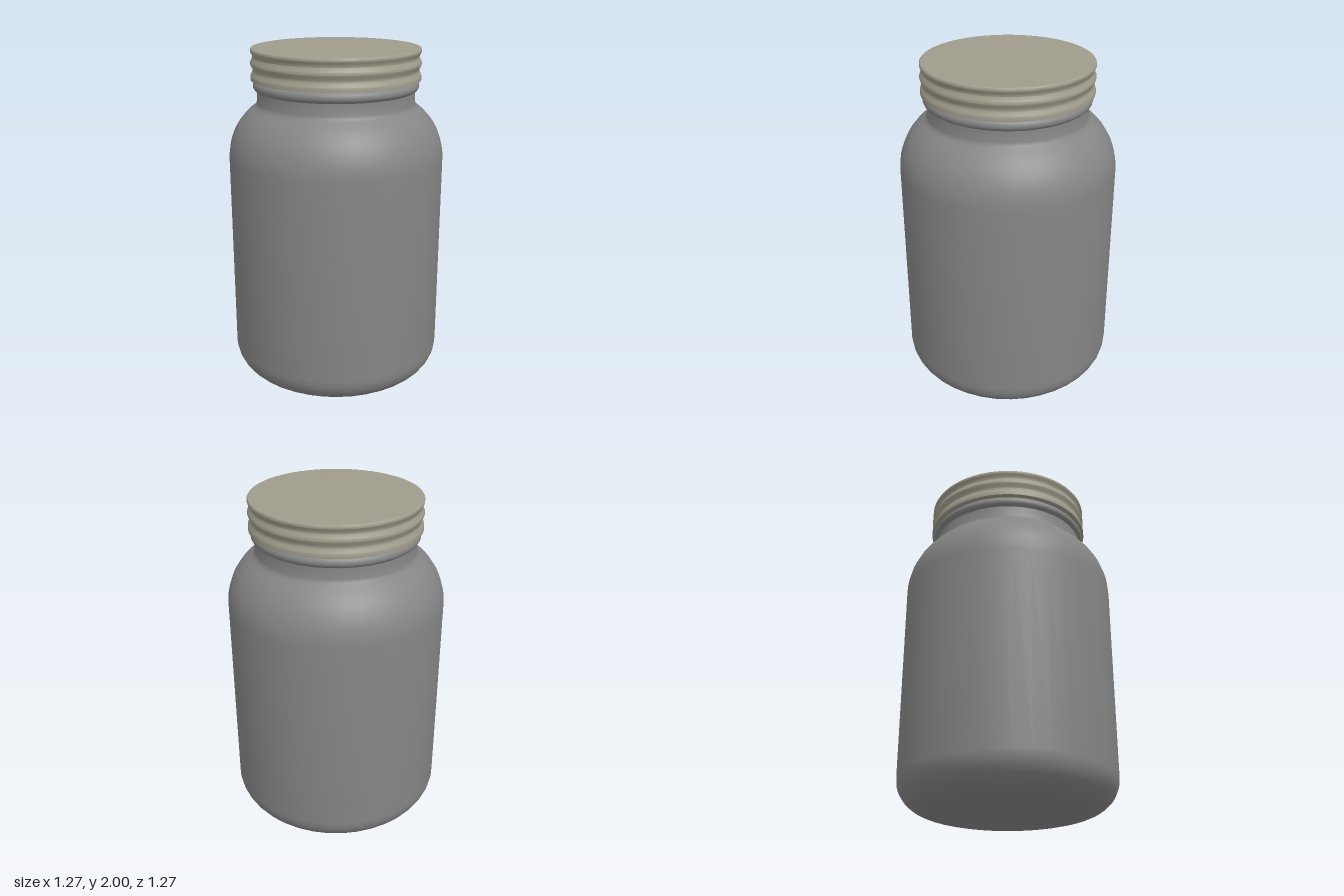
import * as THREE from 'three';
import { toCreasedNormals } from 'three/addons/utils/BufferGeometryUtils.js';

// Turns a profile (bottom to top, counter-clockwise) about the y axis.
function turned(name, path, sides, color) {
  const lathe = new THREE.LatheGeometry(path, sides, Math.PI / sides);
  const mesh = new THREE.Mesh(
    toCreasedNormals(lathe, 0.6),
    new THREE.MeshStandardMaterial({ color, side: THREE.DoubleSide })
  );
  mesh.name = name;
  return mesh;
}

// Points on an elliptical arc, angles in degrees.
function arc(cx, cy, rx, ry, from, to, steps) {
  return Array.from({ length: steps + 1 }, (_, i) => {
    const a = THREE.MathUtils.degToRad(from + ((to - from) * i) / steps);
    return new THREE.Vector2(cx + rx * Math.cos(a), cy + ry * Math.sin(a));
  });
}

const points = (list) => list.map(([x, y]) => new THREE.Vector2(x, y));

export function createModel() {
  const model = new THREE.Group();
  model.name = 'jarWithLid';

  // Jar: rounded base, straight wall, curved shoulder, neck, bead and mouth
  const jar = [
    ...points([[0, 0.004], [0.45, 0.004]]),
    ...arc(0.461, 0.176, 0.174, 0.172, -90, 0, 9),
    ...arc(0.295, 1.36, 0.34, 0.36, 0, 56, 9),
    ...points([[0.47, 1.672], [0.464, 1.69], [0.463, 1.755]]),
    ...arc(0.462, 1.786, 0.023, 0.028, -80, 80, 8),
    ...points([[0.463, 1.818], [0.456, 1.83], [0.456, 1.97], [0, 1.97]]),
  ];
  model.add(turned('jar', jar, 40, 0x868686));

  // Lid: open underside, rippled skirt with two grooves, flat top
  const skirt = new THREE.SplineCurve(points([
    [0.496, 1.82], [0.495, 1.842], [0.483, 1.868], [0.484, 1.884],
    [0.495, 1.908], [0.494, 1.922], [0.482, 1.947], [0.484, 1.96],
    [0.494, 1.98],
  ])).getPoints(28);
  const lid = [
    ...points([[0.464, 1.975], [0.464, 1.82]]),
    ...skirt,
    ...arc(0.484, 1.99, 0.01, 0.01, 0, 90, 4),
    ...points([[0.474, 2], [0, 2]]),
  ];
  model.add(turned('lid', lid, 64, 0xa09c8c));

  return model;
}
